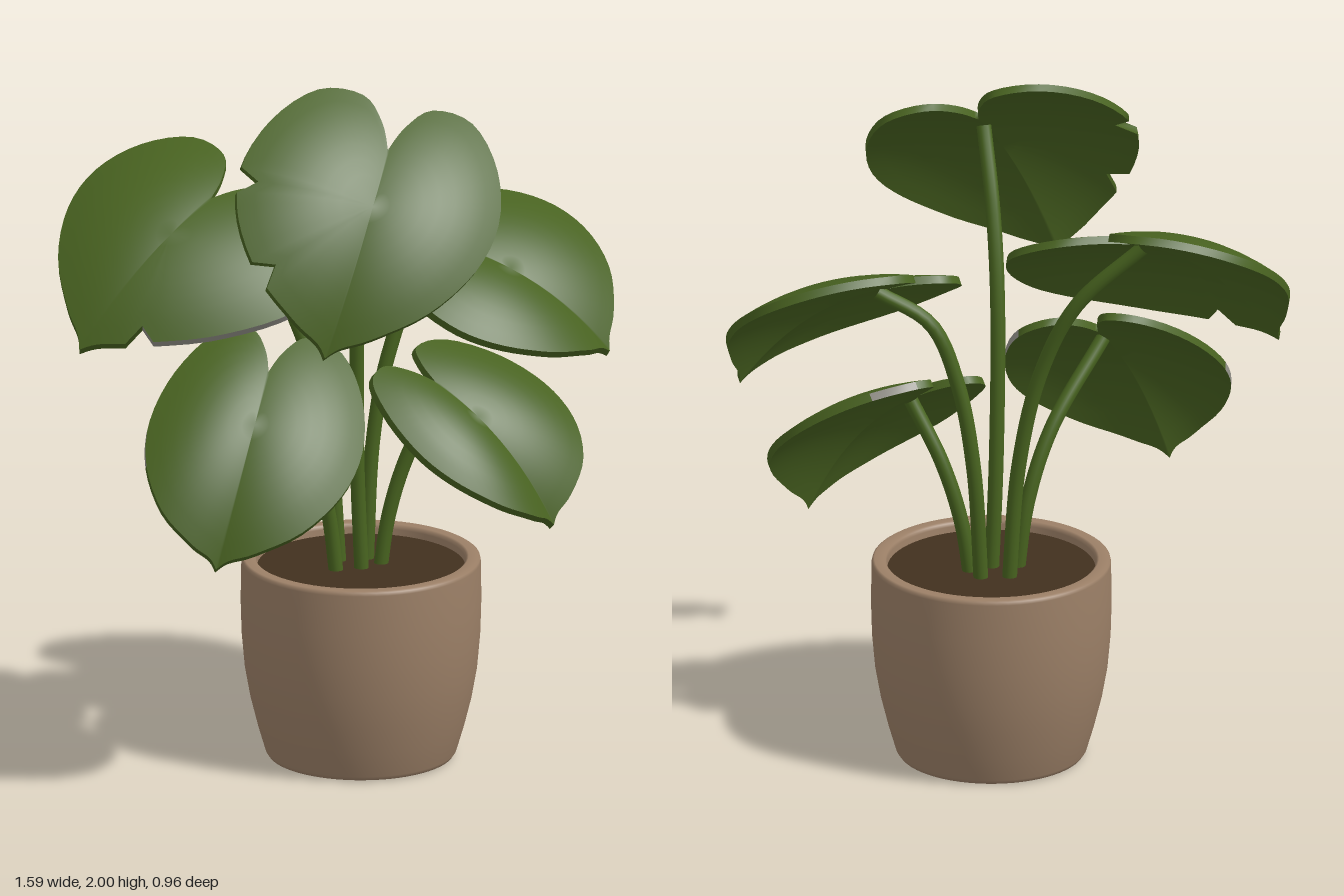
import * as THREE from 'three';

const mat = (name, color) =>
  Object.assign(new THREE.MeshStandardMaterial({ color }), { name });
const V = (a) => new THREE.Vector3(...a);

// Right half of the heart outline: x = sideways, y = from notch (0) to tip (1)
const HALF = new THREE.SplineCurve([
  [0, 0], [0.09, -0.14], [0.27, -0.27], [0.6, -0.26], [0.88, -0.06], [1, 0.2],
  [0.92, 0.46], [0.66, 0.71], [0.31, 0.88], [0.09, 0.95], [0, 1],
].map((p) => new THREE.Vector2(...p)));
const S = 40, M = S * 2, RINGS = 8, CENTRE = 0.3, THICK = 0.024;

// Each leaf: notch and tip of its base plane, half-width vectors of both sides,
// height of the dome, stem points, and optional tears and pale rim stretches
// (0 = notch, 1 = tip, 2 = notch again, going round by the right side)
const LEAVES = [
  { name: 'topLeaf', notch: [0.07, 1.79, 0.11], tip: [-0.17, 1.33, 0.45],
    left: [-0.375, 0.14, 0.03], right: [0.345, -0.05, 0.14], dome: 0.13,
    stem: [[0.045, 0.5, 0], [0.03, 0.9, 0], [0.025, 1.35, 0.04], [0.035, 1.6, 0.11]],
    tears: [1.3, 1.475], pale: [[0.45, 0.6]] },
  { name: 'backLeftLeaf', notch: [-0.33, 1.54, -0.25], tip: [-0.77, 1.25, -0.02],
    left: [-0.21, 0.17, -0.22], right: [0.34, -0.08, 0.26], dome: 0.125,
    stem: [[0, 0.5, -0.08], [-0.03, 0.9, -0.09], [-0.09, 1.18, -0.11], [-0.19, 1.4, -0.15]],
    tears: [0.8], pale: [[0.46, 0.8]] },
  { name: 'backRightLeaf', notch: [0.32, 1.385, -0.13], tip: [0.76, 1.14, 0],
    left: [-0.12, -0.04, 0.28], right: [0.24, 0.165, -0.21], dome: 0.11,
    stem: [[0.075, 0.5, -0.08], [0.1, 0.9, -0.1], [0.145, 1.15, -0.1], [0.22, 1.33, -0.1]] },
  { name: 'frontRightLeaf', notch: [0.225, 1.03, -0.045], tip: [0.56, 0.69, 0.16],
    left: [-0.12, -0.02, 0.22], right: [0.305, 0.07, -0.09], dome: 0.11,
    stem: [[0.1, 0.5, -0.03], [0.13, 0.7, -0.03], [0.185, 0.88, -0.02]],
    pale: [[0.25, 0.33]] },
  { name: 'frontLeftLeaf', notch: [-0.26, 1.15, 0.095], tip: [-0.48, 0.72, 0.43],
    left: [-0.31, 0.04, 0.03], right: [0.275, -0.06, 0.16], dome: 0.12,
    stem: [[-0.025, 0.5, 0], [-0.06, 0.75, 0.01], [-0.13, 0.95, 0.06]],
    pale: [[0.28, 0.38], [1.4, 1.47]] },
];

// Returns a function giving points of the domed blade, at a depth below its upper face
function bladeSurface(leaf) {
  const notch = V(leaf.notch), axis = V(leaf.tip).sub(notch);
  const left = V(leaf.left), right = V(leaf.right);
  const normal = right.clone().sub(left).cross(axis.clone().negate()).normalize();
  return (u, v, depth) => notch.clone()
    .addScaledVector(axis, v)
    .addScaledVector(u > 0 ? right : left, Math.abs(u))
    .addScaledVector(normal, leaf.dome * (1 - u * u - ((v - CENTRE) / 0.72) ** 2) - depth);
}

// Closed outline of one leaf with its small tears
function outline(tears = []) {
  const pts = [];
  for (let i = 0; i < M; i++) {
    const t = i / S;
    const p = HALF.getPoint(t <= 1 ? t : 2 - t);
    if (t > 1) p.x = -p.x;
    if (tears.some((q) => Math.round(q * S) === i)) {
      p.set(p.x * 0.86, CENTRE + (p.y - CENTRE) * 0.86);
    }
    pts.push(p);
  }
  return pts;
}

// Domed heart-shaped blade with an upper face, a lower face and a rim
function bladeGeometry(leaf) {
  const surface = bladeSurface(leaf);
  const edge = outline(leaf.tears);
  const pos = [], green = [], pale = [];
  const add = (u, v, depth) => pos.push(...surface(u, v, depth).toArray());

  // Upper and lower faces as rings growing from the centre
  for (const under of [0, 1]) {
    const base = pos.length / 3;
    const tri = (a, b, c) => green.push(base + a, base + (under ? c : b), base + (under ? b : c));
    add(0, CENTRE, under * THICK);
    for (let k = 1; k <= RINGS; k++) {
      const s = k / RINGS;
      for (const p of edge) add(p.x * s, CENTRE + (p.y - CENTRE) * s, under * THICK);
    }
    for (let i = 0; i < M; i++) {
      const j = (i + 1) % M;
      tri(0, 1 + j, 1 + i);
      for (let k = 0; k < RINGS - 1; k++) {
        const a = 1 + k * M, b = a + M;
        tri(a + i, a + j, b + i);
        tri(a + j, b + j, b + i);
      }
    }
  }

  // Rim
  const rim = pos.length / 3;
  for (const p of edge) {
    add(p.x, p.y, 0);
    add(p.x, p.y, THICK);
  }
  for (let i = 0; i < M; i++) {
    const a = rim + i * 2, b = rim + ((i + 1) % M) * 2;
    const isPale = (leaf.pale || []).some(([from, to]) => i / S >= from && i / S < to);
    (isPale ? pale : green).push(a, b, b + 1, a, b + 1, a + 1);
  }

  const geo = new THREE.BufferGeometry();
  geo.setAttribute('position', new THREE.Float32BufferAttribute(pos, 3));
  geo.setIndex([...green, ...pale]);
  geo.addGroup(0, green.length, 0);
  if (pale.length) geo.addGroup(green.length, pale.length, 1);
  geo.computeVertexNormals();
  return geo;
}

// Stem curving up to the underside of the blade beside the notch
function stemGeometry(leaf) {
  const end = bladeSurface(leaf)(0, 0.07, THICK + 0.004);
  const path = new THREE.CatmullRomCurve3([...leaf.stem.map(V), end]);
  return new THREE.TubeGeometry(path, 32, 0.021, 12);
}

export function createModel() {
  const leafGreen = mat('leaf green', 0x486220);
  const stemGreen = mat('stem green', 0x48641f);
  const paleEdge = mat('pale edge', 0x94928a);
  const clay = mat('clay', 0x9c8067);
  const soilBrown = mat('soil brown', 0x42311f);

  const model = new THREE.Group();
  model.name = 'pottedPlant';
  const mesh = (name, geo, material, parent) => {
    const m = new THREE.Mesh(geo, material);
    m.name = name;
    parent.add(m);
    return m;
  };

  // Pot with a rounded rim, soil and base
  const pot = new THREE.Group();
  pot.name = 'pot';
  pot.position.set(0.045, 0, -0.015);
  model.add(pot);
  const profile = [
    [0.25, 0], [0.262, 0.003], [0.27, 0.015], [0.292, 0.09], [0.312, 0.17], [0.328, 0.26],
    [0.337, 0.36], [0.34, 0.46], [0.338, 0.572], [0.336, 0.581], [0.33, 0.585],
    [0.304, 0.585], [0.298, 0.581], [0.295, 0.572], [0.29, 0.5],
  ].map((p) => new THREE.Vector2(...p));
  mesh('potWall', new THREE.LatheGeometry(profile, 64), clay, pot);
  const soil = mesh('soil', new THREE.CircleGeometry(0.295, 64), soilBrown, pot);
  soil.rotation.x = -Math.PI / 2;
  soil.position.y = 0.555;
  const base = mesh('potBase', new THREE.CircleGeometry(0.252, 64), soilBrown, pot);
  base.rotation.x = Math.PI / 2;
  base.position.y = 0.001;

  // Leaves and their stems
  for (const leaf of LEAVES) {
    const group = new THREE.Group();
    group.name = leaf.name;
    model.add(group);
    mesh('blade', bladeGeometry(leaf), [leafGreen, paleEdge], group);
    mesh('stem', stemGeometry(leaf), stemGreen, group);
  }
  return model;
}
